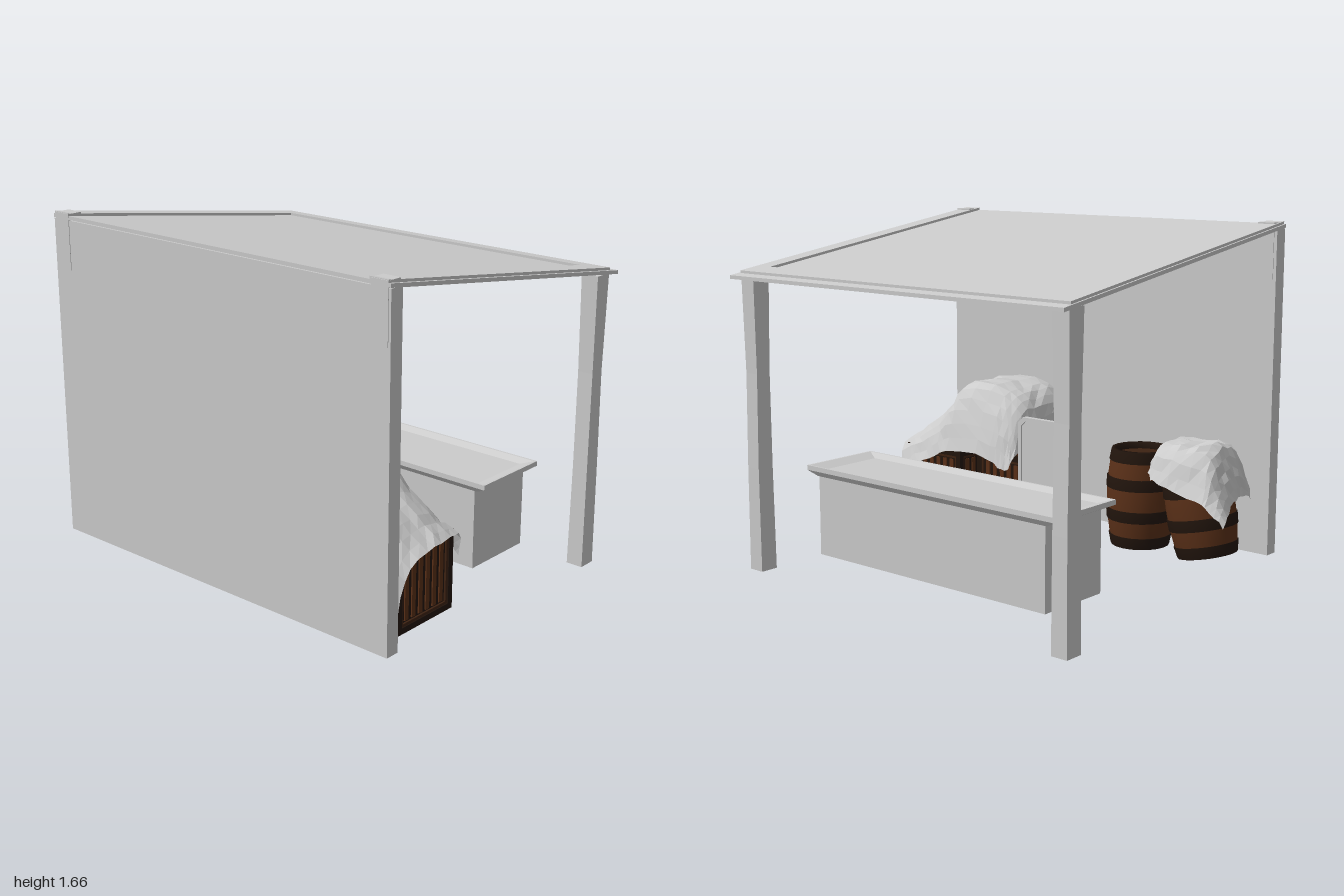
import * as THREE from 'three';

const grey = new THREE.MeshStandardMaterial({ color: 0xcccccc, flatShading: true });
const clothMat = new THREE.MeshStandardMaterial({ color: 0xcccccc, flatShading: true, side: THREE.DoubleSide });
const brown = new THREE.MeshStandardMaterial({ color: 0x5a3018 });
const midBrown = new THREE.MeshStandardMaterial({ color: 0x3d2212 });
const dark = new THREE.MeshStandardMaterial({ color: 0x22150d });

function add(parent, name, geo, mat = grey) {
  const m = new THREE.Mesh(geo, mat);
  m.name = name;
  parent.add(m);
  return m;
}

function group(parent, name) {
  const g = new THREE.Group();
  g.name = name;
  parent.add(g);
  return g;
}

// Box given by its limits
function box(parent, name, x0, x1, y0, y1, z0, z1, mat) {
  const m = add(parent, name, new THREE.BoxGeometry(x1 - x0, y1 - y0, z1 - z0), mat);
  m.position.set((x0 + x1) / 2, (y0 + y1) / 2, (z0 + z1) / 2);
  return m;
}

// Tilt a geometry to the roof line: y += height at x
function toRoof(geo) {
  const p = geo.attributes.position;
  for (let i = 0; i < p.count; i++) p.setY(i, p.getY(i) + 1.65 - 0.1487 * (p.getX(i) + 0.73));
  geo.computeVertexNormals();
  return geo;
}

// Stack of rectangles [x0, x1, z0, z1, y], closed at both ends
function rectLoft(loops) {
  const pos = [], idx = [];
  for (const [x0, x1, z0, z1, y] of loops) pos.push(x0, y, z1, x1, y, z1, x1, y, z0, x0, y, z0);
  for (let r = 0; r < loops.length - 1; r++) {
    for (let k = 0; k < 4; k++) {
      const a = r * 4 + k, b = r * 4 + (k + 1) % 4;
      idx.push(a, b, b + 4, a, b + 4, a + 4);
    }
  }
  const t = (loops.length - 1) * 4;
  idx.push(0, 2, 1, 0, 3, 2, t, t + 1, t + 2, t, t + 2, t + 3);
  const g = new THREE.BufferGeometry();
  g.setAttribute('position', new THREE.Float32BufferAttribute(pos, 3));
  g.setIndex(idx);
  const flat = g.toNonIndexed();
  flat.computeVertexNormals();
  return flat;
}

// Faceted cloth: smooth sheet through rows of points, slightly crumpled
function cloth(rows, nu, nv, bump) {
  const curve = (pts) => new THREE.CatmullRomCurve3(pts, false, 'centripetal');
  const rowCurves = rows.map((r) => curve(r.map((p) => new THREE.Vector3(...p))));
  const geo = new THREE.PlaneGeometry(1, 1, nu, nv);
  const p = geo.attributes.position;
  let seed = 7;
  const rnd = () => (seed = (seed * 16807) % 2147483647) / 2147483647 - 0.5;
  for (let i = 0; i <= nu; i++) {
    const column = curve(rowCurves.map((c) => c.getPoint(i / nu)));
    for (let j = 0; j <= nv; j++) {
      const v = column.getPoint(j / nv);
      p.setXYZ(j * (nu + 1) + i, v.x + rnd() * bump * 0.5, v.y + rnd() * bump, v.z + rnd() * bump * 0.5);
    }
  }
  geo.computeVertexNormals();
  return geo;
}

// Slatted crate standing on its local y = 0
function crate(parent, name, x, z, s = 0.365) {
  const g = group(parent, name), h = s / 2, f = 0.028;
  g.position.set(x, 0.105, z);
  box(g, 'crateCore', -h + 0.014, h - 0.014, 0.014, s - 0.014, -h + 0.014, h - 0.014, dark);
  // corner posts and rails
  for (const a of [-1, 1]) for (const b of [-1, 1]) {
    const p = a * (h - f / 2), q = b * (h - f / 2);
    box(g, 'cratePost', p - f / 2, p + f / 2, 0, s, q - f / 2, q + f / 2, dark);
    const y = h + q;
    box(g, 'crateRail', -h + f, h - f, y - f / 2, y + f / 2, p - f / 2, p + f / 2, dark);
    box(g, 'crateRail', p - f / 2, p + f / 2, y - f / 2, y + f / 2, -h + f, h - f, dark);
  }
  // four slatted sides with an inner border
  for (let k = 0; k < 4; k++) {
    const side = group(g, 'crateSide');
    side.rotation.y = k * Math.PI / 2;
    const z0 = h - 0.015, z1 = h - 0.008, e = h - f;
    for (let i = 0; i < 6; i++) {
      const c = (i - 2.5) * 0.046;
      box(side, 'slat', c - 0.012, c + 0.012, f + 0.02, s - f - 0.02, z0, z1, brown);
    }
    for (const d of [-1, 1]) {
      const c = d * (e - 0.006);
      box(side, 'border', c - 0.006, c + 0.006, f, s - f, z0, z1 + 0.003, midBrown);
      box(side, 'border', -e + 0.012, e - 0.012, h + c - 0.006, h + c + 0.006, z0, z1 + 0.003, midBrown);
    }
  }
  // panels above and below, four each
  for (const y of [0.008, s - 0.014]) for (const a of [-1, 1]) for (const b of [-1, 1]) {
    box(g, 'panel', a * 0.073 - 0.06, a * 0.073 + 0.06, y, y + 0.006, b * 0.073 - 0.06, b * 0.073 + 0.06, midBrown);
  }
}

// Hooped barrel centred on its origin
function barrel(parent, name, x, y, z, tilt) {
  const g = group(parent, name), H = 0.235, sides = 20;
  g.position.set(x, y, z);
  g.rotation.x = tilt;
  const radius = (t) => 0.162 - 0.026 * (t / H) ** 2;
  const lathe = (pts) => new THREE.LatheGeometry(pts.map((p) => new THREE.Vector2(...p)), sides);
  const wall = [];
  for (let i = 0; i <= 8; i++) {
    const t = -H + (2 * H * i) / 8;
    wall.push([radius(t), t]);
  }
  add(g, 'staves', lathe(wall), brown);
  add(g, 'rim', lathe([[radius(H) + 0.004, H], [0.118, H], [0.118, H - 0.03]]), dark);
  add(g, 'lid', lathe([[0.118, H - 0.03], [0, H - 0.03]]), midBrown);
  add(g, 'bottom', lathe([[0, -H + 0.01], [0.118, -H + 0.01], [0.118, -H], [radius(H) + 0.004, -H]]), dark);
  for (const [a, b] of [[-H, -0.18], [-0.105, -0.05], [0.05, 0.105], [0.18, H]]) {
    const ra = radius(a), rb = radius(b), o = 0.005;
    add(g, 'hoop', lathe([[ra, a], [ra + o, a], [rb + o, b], [rb, b]]), dark);
  }
}

export function createModel() {
  const model = new THREE.Group();
  model.name = 'marketStall';

  // Back wall and corner posts
  box(model, 'backWall', -0.8, -0.732, 0.11, 1.628, -0.968, 0.995);
  for (const z of [0.94, -0.91]) {
    box(model, 'wallPostTop', -0.803, -0.729, 1.4, 1.657, z - 0.043, z + 0.043);
    const post = rectLoft([
      [0.655, 0.745, z - 0.041, z + 0.041, 0], [0.66, 0.745, z - 0.038, z + 0.038, 0.5],
      [0.663, 0.739, z - 0.039, z + 0.037, 0.95], [0.655, 0.747, z - 0.042, z + 0.042, 1.405],
    ]);
    add(model, 'frontPost', post);
  }

  // Sloping roof sheet with a raised border open at the wall
  const sheet = new THREE.BoxGeometry(1.604, 0.017, 1.965);
  sheet.translate(0, -0.0205, 0.0125);
  add(model, 'roofSheet', toRoof(sheet));
  const border = new THREE.Shape([
    [-0.8, -0.962], [0.752, -0.962], [0.752, 0.982], [-0.8, 0.982],
    [-0.8, 0.89], [0.65, 0.89], [0.65, -0.87], [-0.8, -0.87],
  ].map((p) => new THREE.Vector2(...p)));
  const borderGeo = new THREE.ExtrudeGeometry(border, { depth: 0.012, bevelEnabled: false });
  add(model, 'roofBorder', toRoof(borderGeo.rotateX(Math.PI / 2)));

  // Counter with a flared, dished top
  const counter = group(model, 'counter');
  box(counter, 'counterBody', 0.163, 0.543, 0.08, 0.47, -0.672, 0.705);
  add(counter, 'counterTop', rectLoft([
    [0.163, 0.543, -0.68, 0.715, 0.46], [0.145, 0.56, -0.737, 0.77, 0.485], [0.145, 0.56, -0.737, 0.77, 0.508],
    [0.155, 0.55, -0.727, 0.76, 0.508], [0.185, 0.52, -0.665, 0.7, 0.488],
  ]));

  // Chair facing the counter
  const chair = group(model, 'chair');
  box(chair, 'seat', -0.3, 0.002, 0.335, 0.352, -0.137, 0.172);
  box(chair, 'apron', -0.295, -0.003, 0.302, 0.335, -0.132, 0.167);
  for (const x of [-0.302, -0.024]) for (const z of [-0.135, 0.145]) {
    box(chair, 'chairLeg', x, x + 0.025, 0.08, 0.335, z, z + 0.025);
  }
  const arch = (w, h, r) => new THREE.Shape()
    .moveTo(-w, 0).lineTo(w, 0).lineTo(w, h - r).lineTo(w - r, h).lineTo(r - w, h).lineTo(-w, h - r).closePath();
  const frame = arch(0.153, 0.345, 0.03);
  frame.holes.push(arch(0.133, 0.325, 0.024));
  for (const [name, shape, depth, x] of [['backFrame', frame, 0.028, -0.302], ['backPanel', arch(0.135, 0.327, 0.024), 0.012, -0.294]]) {
    const geo = new THREE.ExtrudeGeometry(shape, { depth, bevelEnabled: false }).rotateY(Math.PI / 2);
    add(chair, name, geo).position.set(x, 0.35, 0.018);
  }

  // Crates under a draped cloth
  crate(model, 'frontCrate', -0.438, 0.722);
  crate(model, 'rearCrate', -0.53, 0.325);
  const hump = (z) => [[-0.73, 0.5, z], [-0.7, 0.785, z], [-0.52, 0.795, z], [-0.37, 0.785, z], [-0.28, 0.66, z], [-0.22, 0.47, z]];
  add(model, 'crateCloth', cloth([
    [[-0.73, 0.48, 0.18], [-0.68, 0.54, 0.17], [-0.52, 0.54, 0.17], [-0.38, 0.53, 0.17], [-0.27, 0.5, 0.18], [-0.22, 0.44, 0.19]],
    [[-0.73, 0.5, 0.23], [-0.7, 0.7, 0.22], [-0.52, 0.71, 0.21], [-0.37, 0.7, 0.21], [-0.28, 0.6, 0.22], [-0.22, 0.43, 0.23]],
    hump(0.32),
    hump(0.6),
    [[-0.73, 0.44, 0.71], [-0.7, 0.66, 0.7], [-0.52, 0.69, 0.7], [-0.38, 0.67, 0.7], [-0.28, 0.58, 0.71], [-0.21, 0.42, 0.71]],
    [[-0.72, 0.36, 0.86], [-0.67, 0.53, 0.86], [-0.5, 0.57, 0.85], [-0.38, 0.56, 0.85], [-0.27, 0.5, 0.84], [-0.2, 0.37, 0.82]],
    [[-0.69, 0.25, 0.96], [-0.65, 0.43, 0.98], [-0.5, 0.48, 0.98], [-0.38, 0.48, 0.97], [-0.26, 0.46, 0.94], [-0.19, 0.32, 0.89]],
  ], 14, 18, 0.014), clothMat);

  // Barrels, the second leaning with a cloth over it
  barrel(model, 'uprightBarrel', -0.55, 0.338, -0.37, 0);
  barrel(model, 'leaningBarrel', -0.53, 0.355, -0.725, 0.2);
  add(model, 'barrelCloth', cloth([
    [[-0.7, 0.52, -0.53], [-0.6, 0.55, -0.515], [-0.52, 0.56, -0.51], [-0.44, 0.55, -0.515], [-0.37, 0.5, -0.54]],
    [[-0.72, 0.5, -0.57], [-0.64, 0.62, -0.57], [-0.53, 0.64, -0.57], [-0.42, 0.62, -0.57], [-0.34, 0.48, -0.58]],
    [[-0.73, 0.47, -0.7], [-0.66, 0.62, -0.7], [-0.53, 0.64, -0.7], [-0.4, 0.62, -0.7], [-0.32, 0.45, -0.7]],
    [[-0.73, 0.45, -0.82], [-0.65, 0.62, -0.82], [-0.53, 0.655, -0.82], [-0.42, 0.61, -0.83], [-0.32, 0.42, -0.85]],
    [[-0.71, 0.42, -0.88], [-0.62, 0.52, -0.88], [-0.53, 0.54, -0.88], [-0.42, 0.5, -0.89], [-0.31, 0.38, -0.92]],
    [[-0.68, 0.38, -0.9], [-0.6, 0.41, -0.91], [-0.53, 0.41, -0.92], [-0.42, 0.37, -0.95], [-0.31, 0.33, -0.995]],
  ], 12, 14, 0.018), clothMat);

  return model;
}
